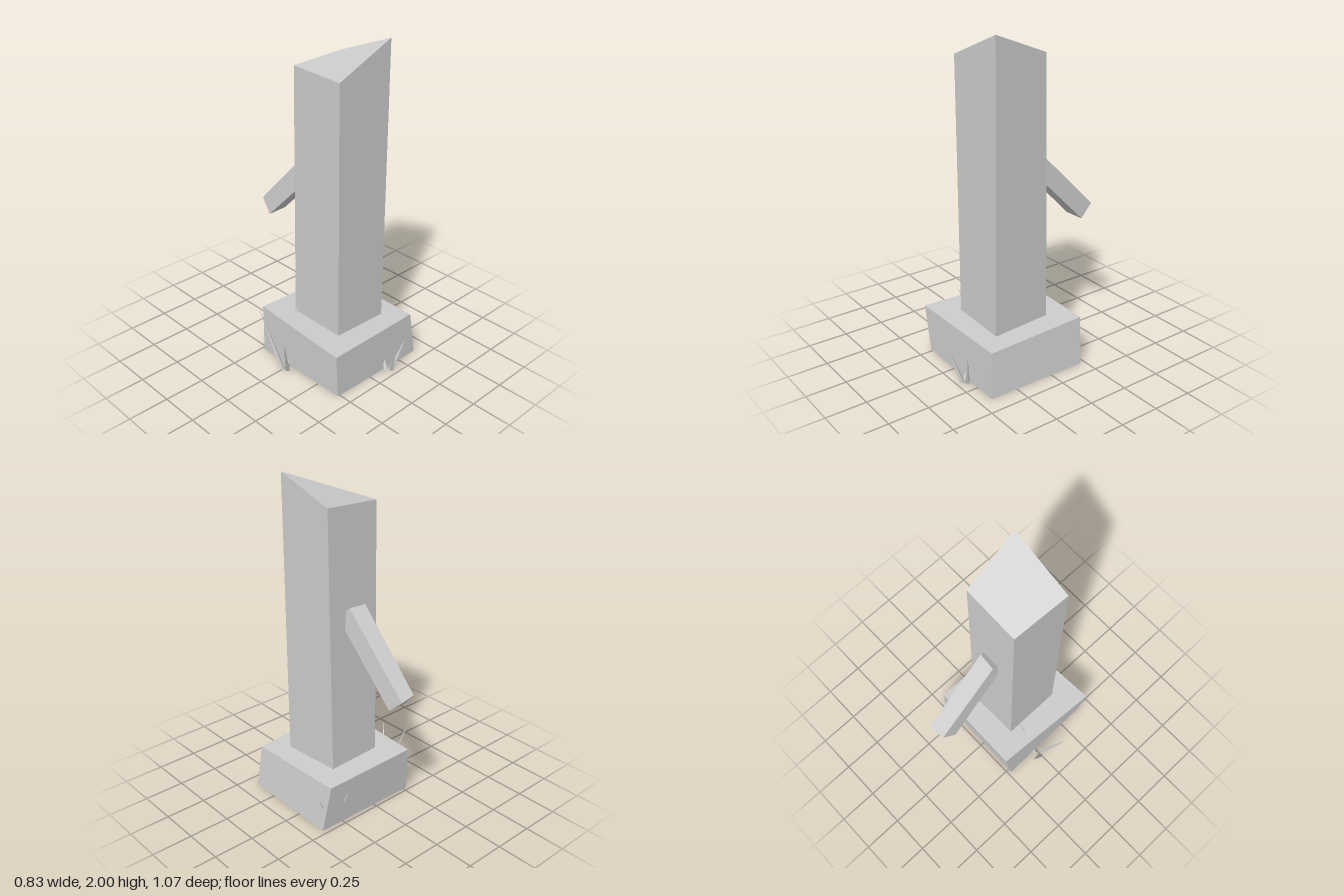
import * as THREE from 'three';

const stone = new THREE.MeshStandardMaterial({ color: 0xcccccc });
stone.name = 'grey stone';

// Rough-hewn block from 8 corners: lower then upper ring,
// each ordered back left, back right, front right, front left in screen x.
// Every side is one quad with a single averaged normal.
function block(name, corners) {
  const p = corners.map((c) => new THREE.Vector3(...c));
  const quads = [[4, 7, 6, 5], [0, 1, 2, 3], [3, 2, 6, 7], [2, 1, 5, 6], [1, 0, 4, 5], [0, 3, 7, 4]];
  const pos = [], nor = [];
  for (const [a, b, c, d] of quads) {
    const n = p[c].clone().sub(p[a]).cross(p[d].clone().sub(p[b])).normalize();
    for (const i of [a, b, c, a, c, d]) {
      pos.push(p[i].x, p[i].y, p[i].z);
      nor.push(n.x, n.y, n.z);
    }
  }
  const g = new THREE.BufferGeometry();
  g.setAttribute('position', new THREE.Float32BufferAttribute(pos, 3));
  g.setAttribute('normal', new THREE.Float32BufferAttribute(nor, 3));
  const mesh = new THREE.Mesh(g, stone);
  mesh.name = name;
  return mesh;
}

// Grass blade: a thin four-sided spike sheared from its root on the ground to its tip
function blade([rx, rz], [tx, ty, tz]) {
  let g = new THREE.ConeGeometry(0.016, ty, 4, 1);
  g.translate(0, ty / 2, 0);
  const pos = g.attributes.position;
  for (let i = 0; i < pos.count; i++) {
    const t = pos.getY(i) / ty;
    pos.setX(i, pos.getX(i) + rx + (tx - rx) * t);
    pos.setZ(i, pos.getZ(i) + rz + (tz - rz) * t);
  }
  g = g.toNonIndexed();
  g.computeVertexNormals();
  const mesh = new THREE.Mesh(g, stone);
  mesh.name = 'grassBlade';
  return mesh;
}

export function createModel() {
  const model = new THREE.Group();
  model.name = 'stonePillar';

  // Uneven plinth
  model.add(block('plinth', [
    [-0.275, 0, -0.23], [0.4, 0, -0.22], [0.39, 0, 0.425], [-0.265, 0, 0.415],
    [-0.255, 0.297, -0.255], [0.355, 0.285, -0.245], [0.365, 0.272, 0.402], [-0.297, 0.297, 0.43],
  ]));

  // Tall shaft with a slanted top
  model.add(block('shaft', [
    [-0.13, 0.27, -0.095], [0.215, 0.27, -0.1], [0.235, 0.27, 0.28], [-0.13, 0.27, 0.278],
    [-0.13, 1.85, -0.08], [0.215, 1.865, -0.075], [0.242, 2, 0.275], [-0.142, 1.84, 0.278],
  ]));

  // Bar leaning out of the back
  model.add(block('bar', [
    [-0.022, 0.785, -0.445], [0.108, 0.785, -0.45], [0.106, 1.205, -0.03], [-0.014, 1.205, -0.03],
    [-0.008, 0.87, -0.522], [0.096, 0.863, -0.535], [0.096, 1.285, -0.113], [-0.012, 1.285, -0.123],
  ]));

  // Grass tufts: root x z, then tip x y z
  const tufts = [
    [[[-0.325, -0.005], [-0.385, 0.41, -0.14]], [[-0.31, 0.025], [-0.42, 0.29, 0.125]], [[-0.285, -0.015], [-0.15, 0.41, -0.04]]],
    [[[0.15, 0.46], [0.097, 0.25, 0.53]], [[0.17, 0.44], [0.24, 0.2, 0.48]], [[0.13, 0.43], [0.13, 0.25, 0.33]]],
    [[[0.31, -0.18], [0.412, 0.215, -0.2]], [[0.28, -0.18], [0.225, 0.23, -0.262]]],
  ];
  for (const blades of tufts) {
    const tuft = new THREE.Group();
    tuft.name = 'grassTuft';
    for (const [root, tip] of blades) tuft.add(blade(root, tip));
    model.add(tuft);
  }
  return model;
}
